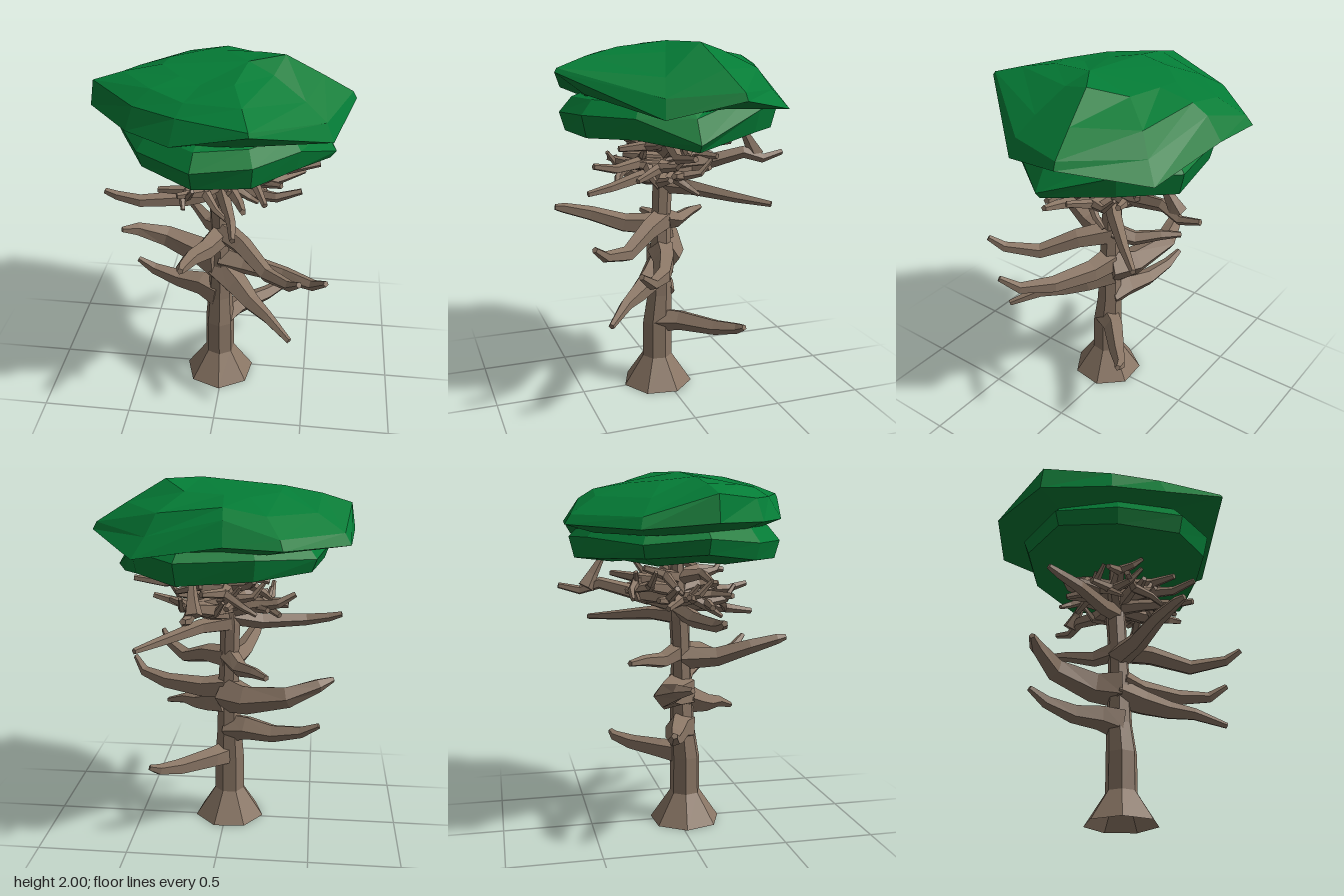
import * as THREE from 'three';

// Double-sided because the trunk is open underneath
const bark = new THREE.MeshStandardMaterial({ color: 0x8a7665, flatShading: true, side: THREE.DoubleSide });
bark.name = 'brown bark';
const leaf = new THREE.MeshStandardMaterial({ color: 0x047c36, flatShading: true });
leaf.name = 'green foliage';

const V = (p) => new THREE.Vector3(...p);

// Skin a solid over rings of equal size, wound counter-clockwise about the loft direction
function loft(rings, endCentre, startCentre) {
  const n = rings[0].length;
  const points = [...rings.flat(), endCentre];
  const end = points.length - 1, last = (rings.length - 1) * n;
  if (startCentre) points.push(startCentre);
  const index = [];
  for (let j = 0; j < n; j++) {
    const k = (j + 1) % n;
    for (let i = 0; i < last; i += n) {
      index.push(i + j, i + k, i + n + k, i + j, i + n + k, i + n + j);
    }
    index.push(end, last + j, last + k);
    if (startCentre) index.push(end + 1, k, j);
  }
  const geometry = new THREE.BufferGeometry().setFromPoints(points);
  geometry.setIndex(index);
  const flat = geometry.toNonIndexed();
  flat.computeVertexNormals();
  return flat;
}

function addMesh(parent, name, geometry, material) {
  const mesh = new THREE.Mesh(geometry, material);
  mesh.name = name;
  parent.add(mesh);
}

// Trunk sections: y, centre x, centre z, radius
const trunkSections = [
  [0, -0.02, 0.045, 0.203], [0.17, -0.02, 0.045, 0.088], [0.38, -0.02, 0.045, 0.086],
  [0.55, -0.02, 0.03, 0.072], [0.8, -0.015, 0.025, 0.062], [1.0, -0.02, 0.02, 0.056],
  [1.2, -0.025, 0.01, 0.058], [1.35, -0.02, 0, 0.048], [1.6, -0.02, 0, 0.03],
];

function trunkGeometry() {
  const rings = trunkSections.map(([y, cx, cz, r]) => Array.from({ length: 7 }, (_, j) => {
    const a = (j / 7) * Math.PI * 2 + 0.3;
    return new THREE.Vector3(cx + r * Math.cos(a), y, cz - r * Math.sin(a));
  }));
  return loft(rings, new THREE.Vector3(-0.02, 1.6, 0));
}

// Tapered five-sided branch through the given points
function branchGeometry(radius, path) {
  const pts = path.map(V);
  const rings = pts.map((p, i) => {
    const t = pts[Math.min(i + 1, pts.length - 1)].clone().sub(pts[Math.max(i - 1, 0)]).normalize();
    const up = Math.abs(t.y) > 0.95 ? V([1, 0, 0]) : V([0, 1, 0]);
    const s = t.clone().cross(up).normalize();
    const n = t.clone().cross(s);
    const f = i / (pts.length - 1);
    const r = radius * (1 - f) + Math.min(0.017, radius * 0.4) * f;
    return Array.from({ length: 5 }, (_, j) => {
      const a = (j / 5) * Math.PI * 2;
      return p.clone().addScaledVector(s, r * Math.cos(a)).addScaledVector(n, r * Math.sin(a));
    });
  });
  return loft(rings, pts[pts.length - 1], pts[0]);
}

// Limbs: radius, then path points
const lowerLimbs = [
  [0.075, [-0.01, 0.39, 0.04], [0.07, 0.4, -0.07], [0.24, 0.4, -0.22], [0.34, 0.42, -0.31], [0.39, 0.44, -0.33]],
  [0.09, [-0.02, 0.56, 0.03], [-0.13, 0.58, -0.02], [-0.28, 0.57, -0.07], [-0.44, 0.6, -0.11], [-0.54, 0.65, -0.13]],
  [0.09, [-0.02, 0.73, 0.02], [0.09, 0.68, 0.12], [0.18, 0.64, 0.22], [0.28, 0.62, 0.32], [0.41, 0.56, 0.44]],
  [0.11, [-0.01, 0.77, 0.02], [-0.13, 0.77, -0.07], [-0.36, 0.82, -0.14], [-0.53, 0.88, -0.1], [-0.61, 0.9, -0.05]],
  [0.08, [-0.01, 0.81, 0.02], [0.13, 0.79, 0.05], [0.36, 0.79, 0.14], [0.52, 0.81, 0.25], [0.59, 0.88, 0.33]],
];
const upperLimbs = [
  [0.07, [-0.02, 0.99, 0.02], [0.12, 0.97, 0.15], [0.27, 0.9, 0.31], [0.4, 0.94, 0.46], [0.45, 1.0, 0.53]],
  [0.07, [-0.02, 0.96, 0.03], [-0.08, 0.97, 0.22], [-0.13, 1.03, 0.4], [-0.15, 1.07, 0.55], [-0.15, 1.08, 0.6]],
  [0.06, [-0.02, 1.0, 0.01], [-0.09, 0.96, -0.1], [-0.18, 0.98, -0.22], [-0.25, 0.98, -0.31]],
  [0.055, [-0.02, 1.24, 0.01], [-0.2, 1.2, 0.06], [-0.45, 1.2, 0.12], [-0.58, 1.22, 0.11], [-0.65, 1.24, 0.1]],
  [0.055, [-0.02, 1.2, 0], [0.13, 1.2, -0.12], [0.3, 1.17, -0.3], [0.43, 1.15, -0.45]],
  [0.045, [-0.02, 1.27, 0.01], [0.03, 1.25, 0.18], [0.08, 1.22, 0.34], [0.1, 1.2, 0.47]],
];
const crownLimbs = [
  [0.055, [-0.02, 1.3, 0], [0.06, 1.32, -0.2], [0.12, 1.38, -0.42], [0.14, 1.34, -0.53], [0.14, 1.37, -0.65]],
  [0.05, [0.11, 1.36, -0.5], [0.12, 1.43, -0.46], [0.13, 1.53, -0.4]],
  [0.05, [-0.02, 1.38, 0], [0.15, 1.45, 0.02], [0.35, 1.41, 0.05], [0.52, 1.44, 0.02]],
  [0.05, [-0.02, 1.28, 0], [0.14, 1.26, 0.06], [0.3, 1.28, 0.13], [0.43, 1.32, 0.12]],
  [0.045, [-0.02, 1.3, 0], [-0.16, 1.31, -0.06], [-0.3, 1.34, -0.1], [-0.39, 1.39, -0.08]],
  [0.045, [-0.02, 1.33, 0], [0.05, 1.34, 0.17], [0.12, 1.33, 0.32], [0.15, 1.36, 0.45]],
];

// Crossing twigs beneath the foliage, each with a small fork; every third fork droops
function addTwigs(parent) {
  let seed = 11;
  const rand = () => (seed = (seed * 16807) % 2147483647) / 2147483647;
  for (let i = 0; i < 18; i++) {
    const a = i * 2.4, y = 1.25 + 0.17 * rand(), reach = 0.22 + 0.16 * rand(), rise = 0.1 * rand() - 0.02;
    const at = (d, h, turn) => [-0.01 + d * Math.cos(a + turn), Math.min(h, 1.5), d * Math.sin(a + turn)];
    const mid = at(reach * 0.6, y + 0.03, 0.1);
    const lift = i % 3 ? 0.12 : -0.07;
    addMesh(parent, 'twig', branchGeometry(0.045, [at(0, y, 0), mid, at(reach, y + rise, 0.4)]), bark);
    addMesh(parent, 'twigFork', branchGeometry(0.03,
      [mid, at(reach * 0.8, y + lift * 0.4, -0.25), at(reach * 0.9, y + lift, -0.45)]), bark);
  }
}

// Upper foliage rim points: x, z, upper edge y, lower edge y, upper edge scale
const upperRim = [
  [-0.34, -0.65, 1.77, 1.72, 0.95], [-0.05, -0.63, 1.85, 1.73, 0.87], [0.41, -0.55, 1.75, 1.65, 0.86],
  [0.69, -0.18, 1.78, 1.74, 0.97], [0.58, 0.2, 1.75, 1.65, 0.93], [0.19, 0.65, 1.88, 1.86, 0.98],
  [-0.2, 0.54, 1.86, 1.74, 0.88], [-0.45, 0.36, 1.85, 1.73, 0.92], [-0.7, 0.06, 1.87, 1.73, 0.97],
  [-0.67, -0.32, 1.76, 1.7, 0.95],
];
// Lower foliage rim points: x, z, upper edge y, lower edge y
const lowerRim = [
  [0.6, 0.02, 1.52, 1.48], [0.42, 0.3, 1.64, 1.53], [0.2, 0.52, 1.64, 1.52],
  [-0.1, 0.57, 1.62, 1.52], [-0.4, 0.36, 1.62, 1.53], [-0.57, 0.05, 1.65, 1.57],
  [-0.5, -0.28, 1.62, 1.55], [-0.2, -0.52, 1.65, 1.54], [0.2, -0.58, 1.64, 1.52],
  [0.45, -0.36, 1.66, 1.54],
];
const crownHeights = [1.93, 1.94, 1.95, 2.0, 1.95, 1.97, 1.94, 1.95, 1.96, 1.94];
const shoulderHeights = [1.86, 1.9, 1.86, 1.88, 1.84, 1.93, 1.91, 1.92, 1.92, 1.85];

// Each layer gives a scale rule and a height rule, ordered from top to bottom
function foliageGeometry(rim, top, bottom, layers) {
  const rings = layers.map(([scale, height]) => rim.map((p, i) =>
    new THREE.Vector3(p[0] * scale(p), height(p, i), p[1] * scale(p))));
  return loft(rings, V(bottom), V(top));
}

export function createModel() {
  const tree = new THREE.Group();
  tree.name = 'tree';
  addMesh(tree, 'trunk', trunkGeometry(), bark);

  const branches = new THREE.Group();
  branches.name = 'branches';
  for (const [name, limbs] of [['lowerLimb', lowerLimbs], ['upperLimb', upperLimbs], ['crownLimb', crownLimbs]]) {
    for (const [radius, ...path] of limbs) addMesh(branches, name, branchGeometry(radius, path), bark);
  }
  addTwigs(branches);
  tree.add(branches);

  const foliage = new THREE.Group();
  foliage.name = 'foliage';
  addMesh(foliage, 'upperFoliage', foliageGeometry(upperRim, [0.13, 2.0, 0.04], [0, 1.64, 0], [
    [() => 0.45, (p, i) => crownHeights[i]],
    [() => 0.74, (p, i) => shoulderHeights[i]],
    [(p) => p[4], (p) => p[2]],
    [() => 1, (p) => p[3]],
    [() => 0.75, (p) => p[3] * 0.45 + 0.9],
  ]), leaf);
  addMesh(foliage, 'lowerFoliage', foliageGeometry(lowerRim, [0, 1.78, 0], [0, 1.53, 0], [
    [() => 0.62, () => 1.76],
    [() => 0.88, (p) => p[2] * 0.6 + 0.73],
    [() => 1, (p) => p[2]],
    [() => 0.95, (p) => p[3]],
    [() => 0.6, (p, i) => 1.5 + 0.02 * (i % 2)],
  ]), leaf);
  tree.add(foliage);
  return tree;
}
